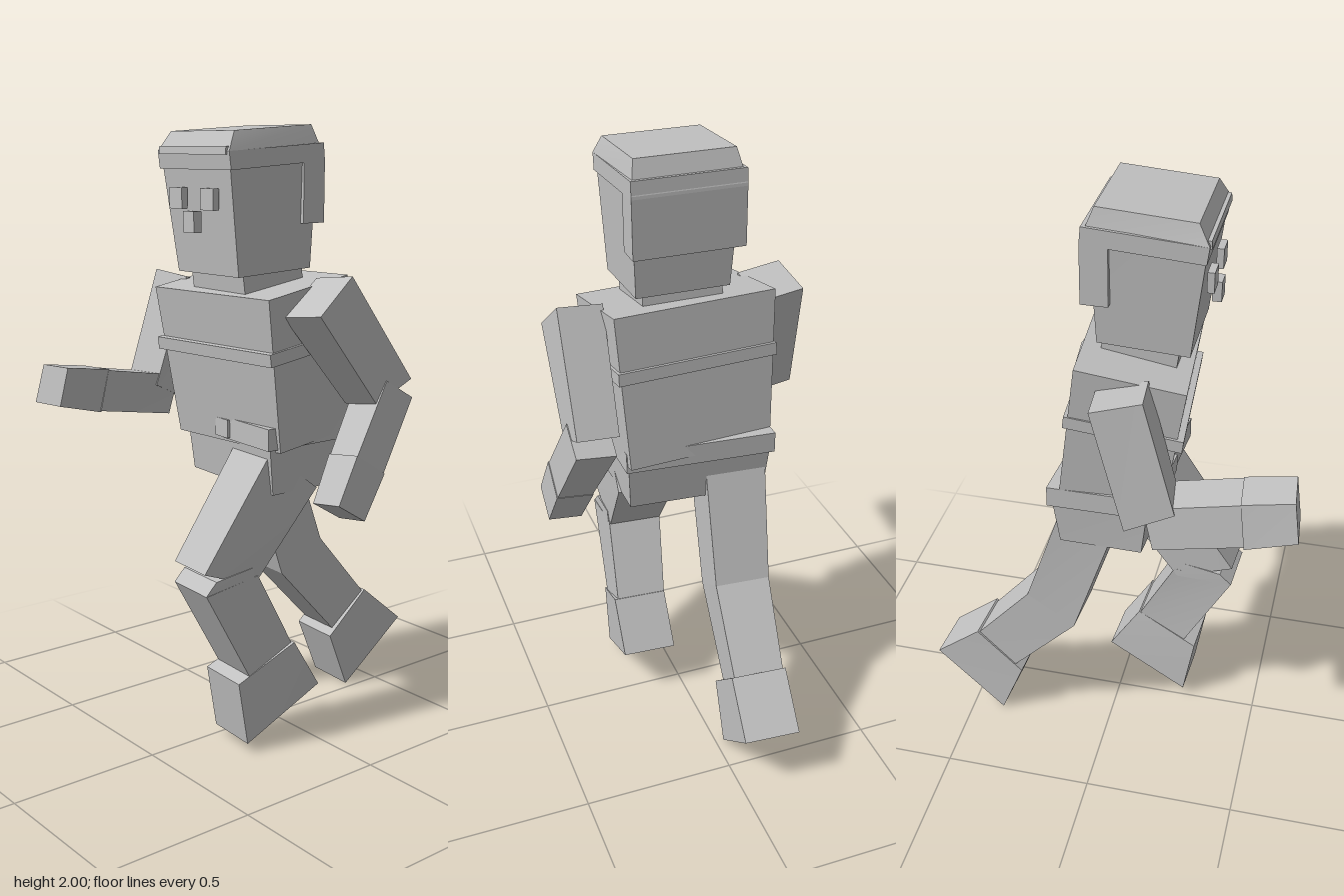
import * as THREE from 'three';

const grey = new THREE.MeshStandardMaterial({ color: 0xc0c0c0 });
grey.name = 'plain grey';

// Six-sided block from four edges that run along x, each [z, y, xMin, xMax].
// Order: top front, top back, bottom back, bottom front.
// yaw and roll shift z and y in proportion to the distance from the edge middle.
function block(name, edges, yaw = 0, roll = 0) {
  const geo = new THREE.BoxGeometry(1, 1, 1);
  const p = geo.attributes.position;
  for (let i = 0; i < p.count; i++) {
    const top = p.getY(i) > 0, front = p.getZ(i) > 0;
    const [z, y, x0, x1] = edges[top ? (front ? 0 : 1) : (front ? 3 : 2)];
    const x = p.getX(i) > 0 ? x1 : x0;
    const d = x - (x0 + x1) / 2;
    p.setXYZ(i, x, y + roll * d, z + yaw * d);
  }
  geo.computeVertexNormals();
  const mesh = new THREE.Mesh(geo, grey);
  mesh.name = name;
  return mesh;
}

// Upright block between two corners
function box(name, x0, x1, y0, y1, z0, z1, yaw = 0) {
  return block(name, [[z1, y1, x0, x1], [z0, y1, x0, x1], [z0, y0, x0, x1], [z1, y0, x0, x1]], yaw);
}

function group(name, ...parts) {
  const g = new THREE.Group();
  g.name = name;
  g.add(...parts);
  return g;
}

export function createModel() {
  const model = new THREE.Group();
  model.name = 'runningFigure';

  // Head, hair and face
  model.add(group('headGroup',
    block('head', [[0.295, 1.92, -0.185, 0.165], [-0.05, 1.93, -0.185, 0.165],
      [-0.035, 1.56, -0.16, 0.15], [0.25, 1.545, -0.16, 0.15]]),
    block('hairBand', [[0.3, 1.92, -0.195, 0.172], [-0.07, 1.945, -0.195, 0.172],
      [-0.075, 1.89, -0.195, 0.172], [0.293, 1.865, -0.195, 0.172]]),
    block('hairTop', [[0.265, 1.98, -0.172, 0.152], [-0.035, 2.0, -0.172, 0.152],
      [-0.075, 1.9, -0.195, 0.172], [0.3, 1.92, -0.195, 0.172]]),
    block('hairLip', [[0.303, 1.935, -0.182, 0.16], [0.26, 1.935, -0.182, 0.16],
      [0.26, 1.91, -0.182, 0.16], [0.305, 1.91, -0.182, 0.16]]),
    block('hairBack', [[0.01, 1.89, -0.195, 0.172], [-0.075, 1.89, -0.195, 0.172],
      [-0.075, 1.7, -0.195, 0.17], [0.01, 1.7, -0.195, 0.17]]),
    box('rightEye', -0.125, -0.06, 1.745, 1.81, 0.285, 0.307),
    box('leftEye', 0.035, 0.1, 1.745, 1.81, 0.285, 0.307),
    box('nose', -0.04, 0.015, 1.675, 1.74, 0.288, 0.317),
    block('neck', [[0.215, 1.56, -0.14, 0.125], [-0.02, 1.58, -0.14, 0.125],
      [-0.03, 1.5, -0.14, 0.125], [0.205, 1.48, -0.14, 0.125]])));

  // Torso leans forward and twists against the hips
  model.add(group('body',
    block('torso', [[0.245, 1.485, -0.275, 0.265], [-0.09, 1.54, -0.3, 0.245],
      [-0.155, 1.04, -0.27, 0.22], [0.172, 1.0, -0.25, 0.235]], -0.07),
    block('chestBand', [[0.24, 1.32, -0.275, 0.265], [-0.125, 1.37, -0.295, 0.245],
      [-0.13, 1.33, -0.295, 0.245], [0.235, 1.28, -0.275, 0.265]], -0.07),
    box('belt', -0.272, 0.225, 1.01, 1.08, -0.158, 0.178, 0.07),
    box('buckle', -0.06, 0.01, 1.015, 1.075, 0.17, 0.188, 0.07),
    block('pelvis', [[0.165, 1.03, -0.262, 0.215], [-0.145, 1.03, -0.262, 0.215],
      [-0.125, 0.86, -0.25, 0.205], [0.145, 0.86, -0.255, 0.205]], 0.07)));

  // Left arm swings back, elbow bent
  model.add(group('leftArm',
    block('leftUpperArm', [[0.15, 1.435, 0.25, 0.405], [0.01, 1.545, 0.24, 0.39],
      [-0.23, 1.21, 0.272, 0.41], [-0.08, 1.145, 0.28, 0.412]], -0.08, 0.1),
    block('leftForearm', [[-0.125, 1.215, 0.28, 0.412], [-0.235, 1.15, 0.285, 0.415],
      [-0.088, 0.93, 0.325, 0.442], [0.02, 1.0, 0.318, 0.438]], -0.03, 0.12),
    block('leftHand', [[0.022, 1.003, 0.315, 0.44], [-0.09, 0.93, 0.323, 0.445],
      [0, 0.795, 0.342, 0.453], [0.105, 0.86, 0.335, 0.45]], -0.03, 0.12)));

  // Right arm swings forward, elbow bent
  model.add(group('rightArm',
    block('rightUpperArm', [[0.155, 1.52, -0.415, -0.263], [0, 1.48, -0.435, -0.28],
      [0.11, 1.09, -0.455, -0.31], [0.26, 1.16, -0.437, -0.295]], -0.1, -0.1),
    block('rightForearm', [[0.455, 1.225, -0.415, -0.28], [0.165, 1.175, -0.435, -0.3],
      [0.2, 1.045, -0.455, -0.31], [0.475, 1.09, -0.437, -0.3]], -0.08, 0.03),
    block('rightHand', [[0.61, 1.25, -0.405, -0.272], [0.452, 1.228, -0.418, -0.28],
      [0.472, 1.085, -0.442, -0.305], [0.63, 1.125, -0.43, -0.293]], -0.08, 0.03)));

  // Left leg strides forward
  model.add(group('leftLeg',
    block('leftThigh', [[0.155, 0.995, 0, 0.195], [-0.02, 0.86, 0.02, 0.215],
      [0.21, 0.57, 0.0, 0.18], [0.4, 0.64, -0.005, 0.172]], 0.07),
    block('leftShin', [[0.4, 0.57, -0.005, 0.18], [0.2, 0.6, 0.0, 0.185],
      [0.07, 0.34, 0.03, 0.2], [0.23, 0.25, 0.01, 0.19]], 0.06),
    block('leftFoot', [[0.28, 0.25, 0, 0.185], [0.07, 0.35, 0.03, 0.212],
      [-0.035, 0.178, 0.03, 0.212], [0.245, 0.035, 0, 0.185]], 0.06),
    block('leftKnee', [[0.36, 0.61, -0.008, 0.178], [0.22, 0.63, 0, 0.185],
      [0.21, 0.57, 0, 0.185], [0.4, 0.57, -0.008, 0.178]], 0.06)));

  // Right leg pushes off behind
  model.add(group('rightLeg',
    block('rightThigh', [[0.05, 0.94, -0.255, -0.06], [-0.125, 0.995, -0.255, -0.05],
      [-0.265, 0.58, -0.225, -0.04], [-0.1, 0.48, -0.237, -0.055]], 0.07),
    block('rightShin', [[-0.1, 0.48, -0.237, -0.055], [-0.265, 0.58, -0.225, -0.04],
      [-0.46, 0.345, -0.2, -0.03], [-0.335, 0.22, -0.21, -0.045]], 0.07),
    block('rightFoot', [[-0.305, 0.205, -0.217, -0.028], [-0.465, 0.35, -0.207, -0.02],
      [-0.627, 0.21, -0.19, -0.005], [-0.385, 0.003, -0.212, -0.028]], 0.07)));

  return model;
}
